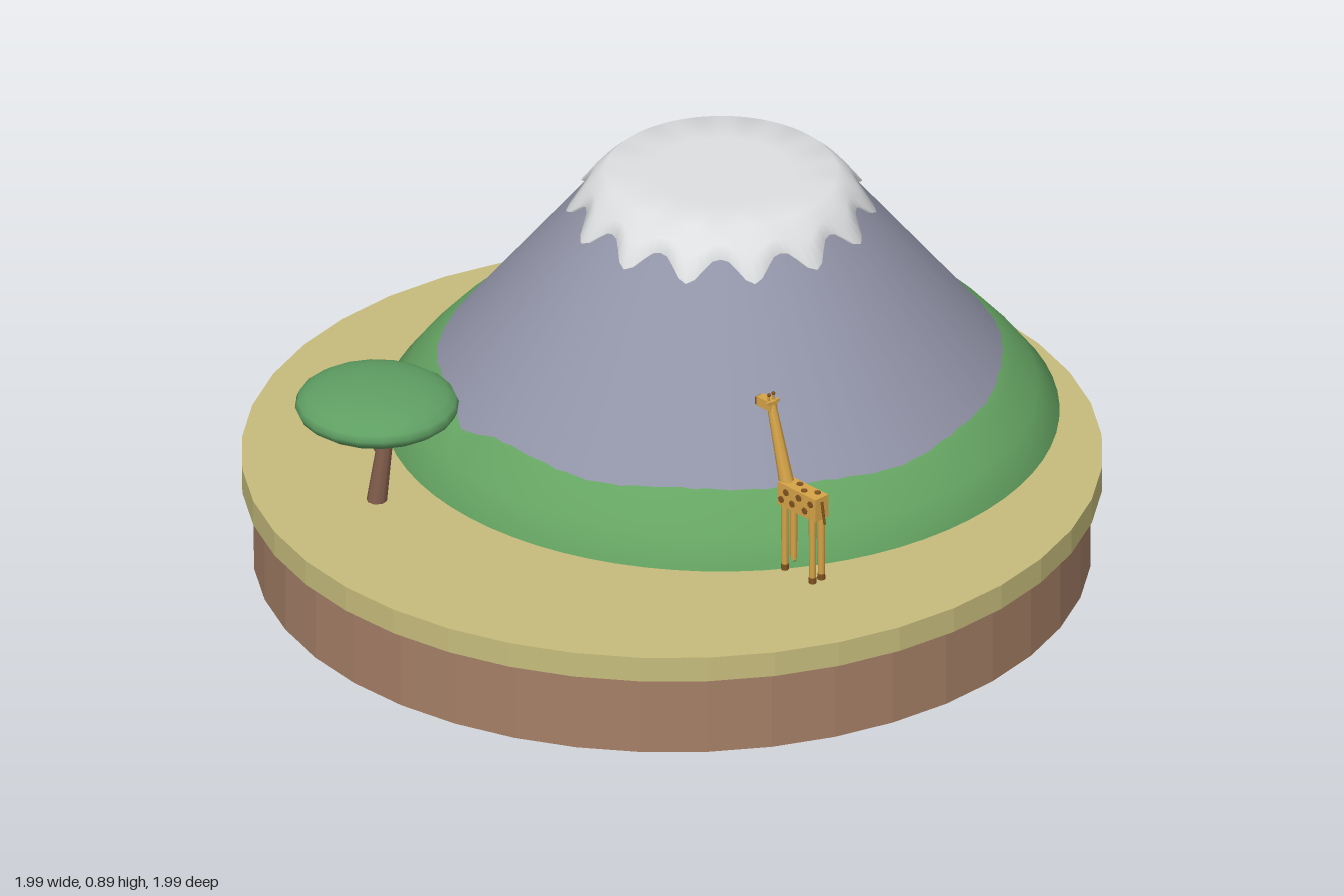
import * as THREE from 'three';

const mat = (name, color, extra = {}) => {
  const m = new THREE.MeshStandardMaterial({ color, ...extra });
  m.name = name;
  return m;
};

function add(parent, name, geometry, material, x = 0, y = 0, z = 0) {
  const mesh = new THREE.Mesh(geometry, material);
  mesh.name = name;
  mesh.position.set(x, y, z);
  parent.add(mesh);
  return mesh;
}

// Tapered round bar between two points
function bar(parent, name, from, to, r0, r1, material, sides = 8) {
  const a = new THREE.Vector3(...from), b = new THREE.Vector3(...to);
  const dir = b.clone().sub(a);
  const mesh = add(parent, name, new THREE.CylinderGeometry(r1, r0, dir.length(), sides), material);
  mesh.position.copy(a).add(b).multiplyScalar(0.5);
  mesh.quaternion.setFromUnitVectors(new THREE.Vector3(0, 1, 0), dir.normalize());
  return mesh;
}

// Closed rings from top to bottom; profile(angle) gives [radius, height] pairs
function ringSurface(segments, profile) {
  const pos = [], index = [];
  const rows = profile(0).length;
  for (let i = 0; i < segments; i++) {
    const a = (i / segments) * Math.PI * 2;
    for (const [r, y] of profile(a)) pos.push(r * Math.sin(a), y, r * Math.cos(a));
  }
  for (let i = 0; i < segments; i++) {
    const p = i * rows, q = ((i + 1) % segments) * rows;
    for (let j = 0; j < rows - 1; j++) {
      index.push(p + j, p + j + 1, q + j + 1, p + j, q + j + 1, q + j);
    }
  }
  const g = new THREE.BufferGeometry();
  g.setAttribute('position', new THREE.Float32BufferAttribute(pos, 3));
  g.setIndex(index);
  g.computeVertexNormals();
  return g;
}

const GROUND = 0.262, PEAK = 0.89;
const coneRadius = (y) => 0.766 - (y - GROUND) * 0.802;

export function createModel() {
  const model = new THREE.Group();
  model.name = 'savannaMountain';

  const soil = mat('soil', 0xa57f66, { flatShading: true });
  const sand = mat('sand', 0xc6bc7c, { flatShading: true });
  const rock = mat('rock', 0x9294a8);
  const snow = mat('snow', 0xdedfe1);
  const grass = mat('grass', 0x65a462);
  const leaf = mat('leaf', 0x5f9f63);
  const bark = mat('bark', 0x85604e);
  const hide = mat('hide', 0xd6a448);
  const patch = mat('patch', 0x80521f);

  // Round base
  add(model, 'soilBase', new THREE.CylinderGeometry(0.967, 0.967, 0.2, 40), soil, 0, 0.1, 0.006);
  add(model, 'sandTop', new THREE.CylinderGeometry(0.994, 0.994, 0.062, 40), sand, 0, 0.231, 0.006);

  // Mountain
  const mountain = new THREE.Group();
  mountain.name = 'mountain';
  mountain.position.set(0.065, 0, -0.215);
  model.add(mountain);
  const coneTop = PEAK - 0.01;
  add(mountain, 'rockCone',
    new THREE.CylinderGeometry(coneRadius(coneTop), 0.766, coneTop - GROUND, 48),
    rock, 0, (GROUND + coneTop) / 2, 0);

  // Snow cap with fourteen hanging points
  add(mountain, 'snowCap', ringSurface(14 * 8, (a) => {
    const tip = Math.pow(0.5 + 0.5 * Math.cos(14 * a), 1.3);
    const edge = 0.832 - 0.048 * tip;
    const mid = (edge + PEAK) / 2;
    return [
      [0, PEAK], [0.16, PEAK], [0.268, PEAK - 0.001],
      [coneRadius(mid) + 0.014, mid],
      [coneRadius(edge) + 0.011, edge],
      [coneRadius(edge) - 0.003, edge - 0.003],
    ];
  }), snow);

  // Grass skirt with an uneven upper edge and a notch at the front right
  add(mountain, 'grassSkirt', ringSurface(72, (a) => {
    const off = a - 5.42;
    const top = 0.408 + 0.005 * Math.sin(5 * a) + 0.003 * Math.sin(11 * a + 1)
      - 0.03 * Math.exp(-off * off * 120);
    const shoulder = top - 0.018, mid = 0.33;
    return [
      [coneRadius(top) - 0.004, top],
      [coneRadius(shoulder) + 0.012, shoulder],
      [coneRadius(mid) + 0.018, mid],
      [0.78, GROUND + 0.002],
      [0.755, GROUND - 0.001],
    ];
  }), grass);

  // Flat-topped tree
  const tree = new THREE.Group();
  tree.name = 'tree';
  model.add(tree);
  bar(tree, 'trunk', [-0.61, 0.258, 0.385], [-0.582, 0.48, 0.385], 0.024, 0.016, bark);
  bar(tree, 'branch', [-0.597, 0.385, 0.385], [-0.665, 0.475, 0.385], 0.011, 0.008, bark);
  const canopy = add(tree, 'canopy', new THREE.SphereGeometry(0.19, 20, 12), leaf, -0.61, 0.513, 0.385);
  canopy.scale.y = 0.3;

  // Giraffe, built facing its own +x
  const giraffe = new THREE.Group();
  giraffe.name = 'giraffe';
  giraffe.position.set(0.428, 0, 0.508);
  giraffe.rotation.y = Math.PI - 0.576;
  model.add(giraffe);
  add(giraffe, 'body', new THREE.BoxGeometry(0.125, 0.058, 0.042), hide, 0, 0.458, 0);
  for (const x of [-0.046, 0.046]) {
    for (const z of [-0.014, 0.014]) {
      bar(giraffe, 'leg', [x, 0.275, z], [x, 0.44, z], 0.008, 0.009, hide);
      bar(giraffe, 'hoof', [x, 0.26, z], [x, 0.277, z], 0.0095, 0.009, patch);
    }
  }
  bar(giraffe, 'neck', [0.05, 0.465, 0], [0.105, 0.665, 0], 0.018, 0.011, hide);
  add(giraffe, 'head', new THREE.BoxGeometry(0.046, 0.024, 0.022), hide, 0.12, 0.664, 0);
  add(giraffe, 'muzzle', new THREE.BoxGeometry(0.01, 0.018, 0.019), patch, 0.146, 0.662, 0);
  for (const z of [-0.007, 0.007]) {
    bar(giraffe, 'horn', [0.108, 0.672, z], [0.106, 0.69, z], 0.003, 0.003, hide, 6);
    add(giraffe, 'hornTip', new THREE.SphereGeometry(0.0045, 8, 6), patch, 0.106, 0.692, z);
    add(giraffe, 'ear', new THREE.BoxGeometry(0.006, 0.008, 0.012), hide, 0.1, 0.674, z * 2);
  }
  bar(giraffe, 'tail', [-0.062, 0.475, 0], [-0.072, 0.42, 0], 0.004, 0.003, patch, 6);

  // Coat patches on both flanks and along the back
  const spots = [[-0.047, 0.47], [-0.028, 0.446], [-0.008, 0.472], [0.014, 0.448], [0.034, 0.47], [0.05, 0.446]];
  for (const [x, y] of spots) {
    for (const side of [-1, 1]) {
      const spot = add(giraffe, 'flankPatch', new THREE.CylinderGeometry(0.0085, 0.0085, 0.006, 7), patch, x, y, side * 0.021);
      spot.rotation.x = Math.PI / 2;
    }
  }
  for (const [x, z] of [[-0.04, 0.008], [-0.012, -0.008], [0.018, 0.007]]) {
    add(giraffe, 'backPatch', new THREE.CylinderGeometry(0.008, 0.008, 0.006, 7), patch, x, 0.487, z);
  }

  return model;
}
